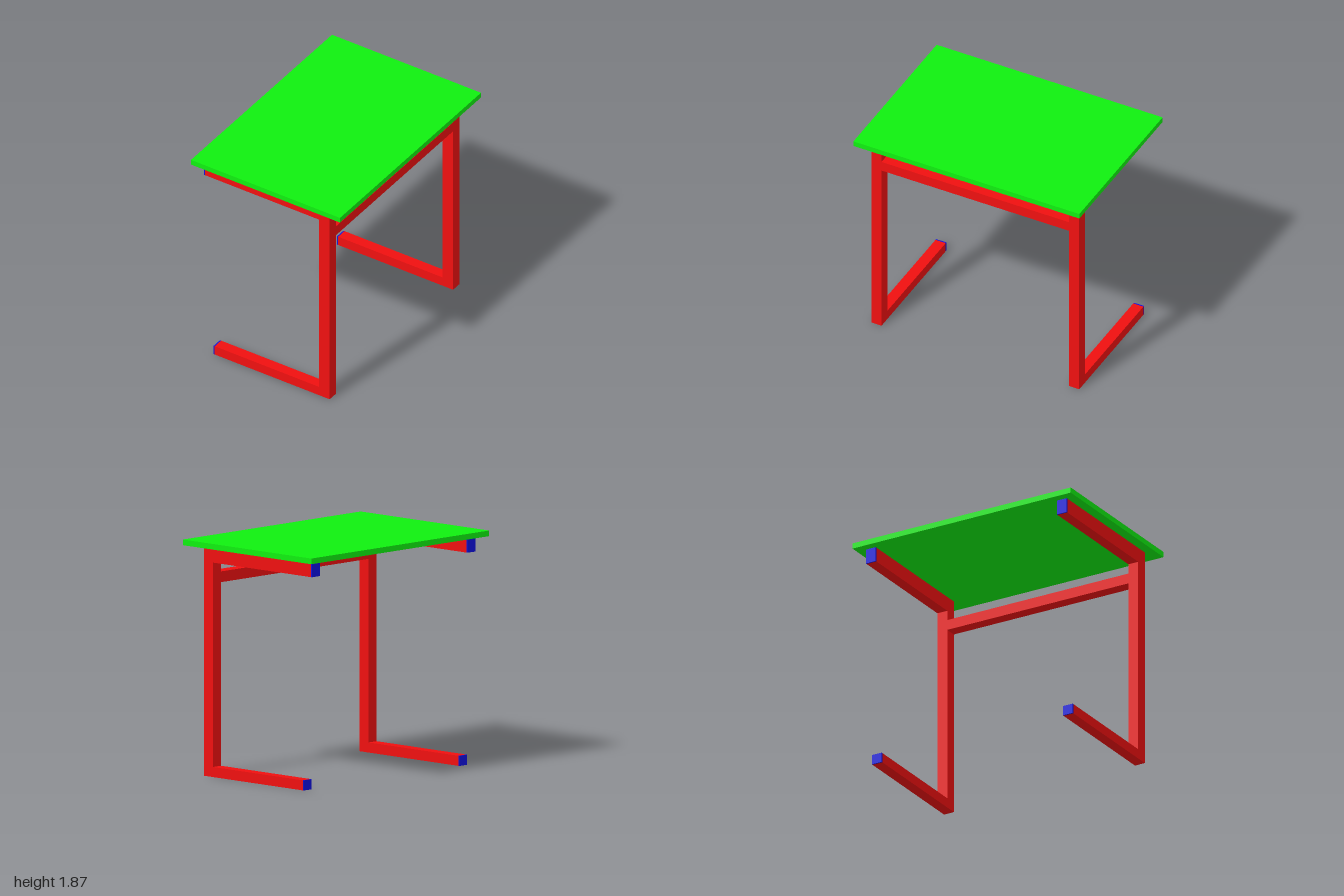
import * as THREE from 'three';

const green = new THREE.MeshStandardMaterial({ color: 0x10f010 });
const red = new THREE.MeshStandardMaterial({ color: 0xf01010 });
const blue = new THREE.MeshStandardMaterial({ color: 0x1010e0 });

// Box given by its lower and upper corners
function box(name, material, [x0, y0, z0], [x1, y1, z1]) {
  const mesh = new THREE.Mesh(new THREE.BoxGeometry(x1 - x0, y1 - y0, z1 - z0), material);
  mesh.position.set((x0 + x1) / 2, (y0 + y1) / 2, (z0 + z1) / 2);
  mesh.name = name;
  return mesh;
}

export function createModel() {
  const table = new THREE.Group();
  table.name = 'table';

  const armEnd = -0.62, footEnd = -0.53, capDepth = 0.01;
  const postIn = 0.45, postOut = 0.55;
  const footTop = 0.08, armBottom = 1.7, frameTop = 1.82;
  const zIn = 0.83, zOut = 0.92;

  table.add(box('tabletop', green, [-0.7, frameTop, -1], [0.7, 1.865, 1]));

  // C-shaped side frame: foot, post and top arm in one outline
  const outline = new THREE.Shape([
    [footEnd, 0], [postOut, 0], [postOut, frameTop], [armEnd, frameTop],
    [armEnd, armBottom], [postIn, armBottom], [postIn, footTop], [footEnd, footTop],
  ].map(([x, y]) => new THREE.Vector2(x, y)));
  const frameGeometry = new THREE.ExtrudeGeometry(outline, { depth: zOut - zIn, bevelEnabled: false });

  for (const [side, z] of [['front', zIn], ['back', -zOut]]) {
    const frame = new THREE.Mesh(frameGeometry, red);
    frame.name = side + 'Frame';
    frame.position.z = z;
    table.add(frame);

    // End caps on the open tube ends
    const z1 = z + zOut - zIn;
    table.add(box(side + 'ArmCap', blue, [armEnd - capDepth, armBottom, z], [armEnd, frameTop, z1]));
    table.add(box(side + 'FootCap', blue, [footEnd - capDepth, 0, z], [footEnd, footTop, z1]));
  }

  // Rail joining the two posts
  table.add(box('crossRail', red, [postIn, 1.535, -zIn], [postOut, 1.62, zIn]));

  return table;
}
